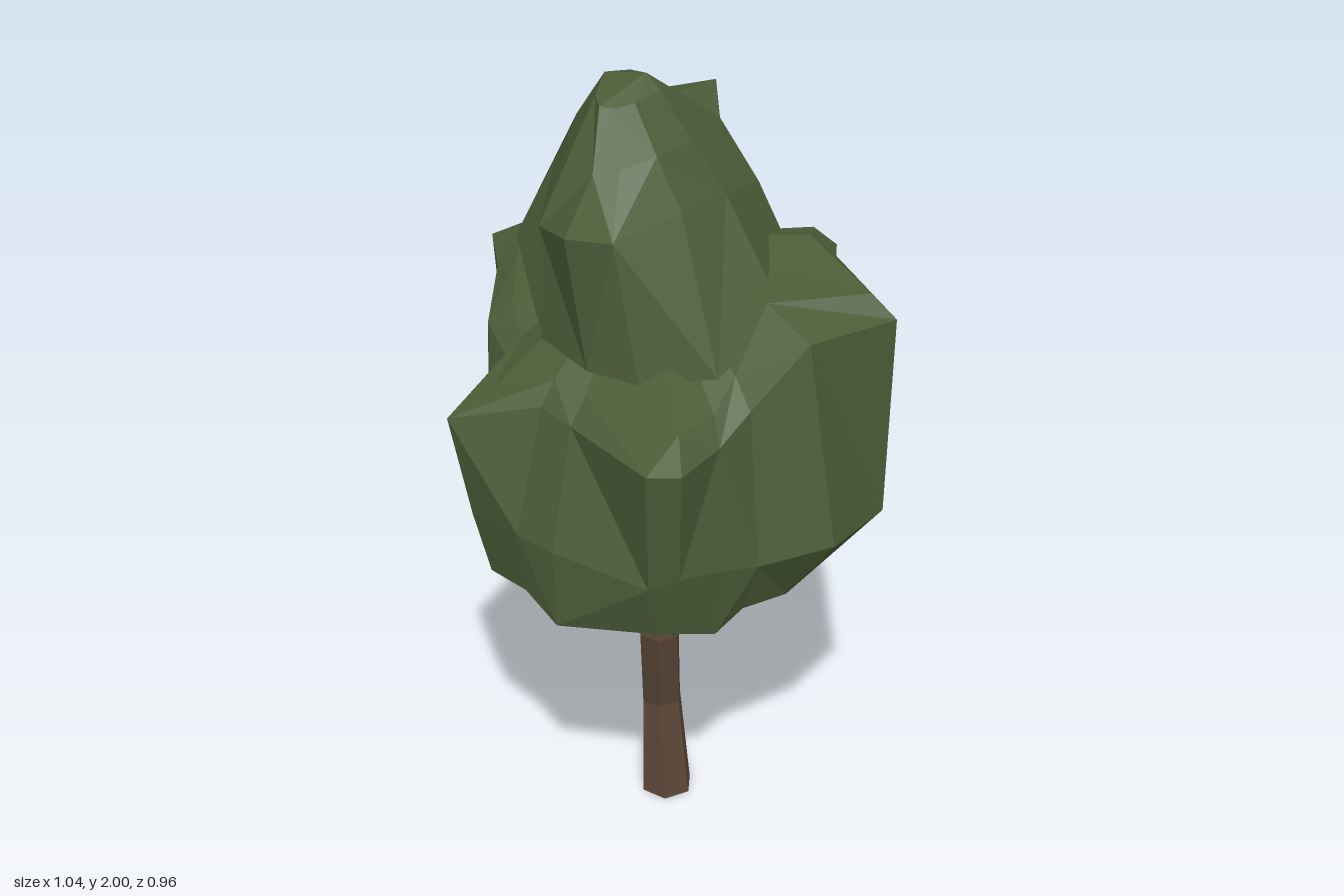
import * as THREE from 'three';

const leafGreen = new THREE.MeshStandardMaterial({ color: 0x4c5d38, flatShading: true });
leafGreen.name = 'leafGreen';
const barkBrown = new THREE.MeshStandardMaterial({ color: 0x5a4637, flatShading: true });
barkBrown.name = 'barkBrown';

// Faceted skin over closed rings of points, with a pole at each end
function skin(rings, bottom, top) {
  const n = rings[0].length;
  const pos = [];
  const tri = (a, b, c) => pos.push(...a, ...b, ...c);
  for (let i = 0; i < n; i++) {
    const k = (i + 1) % n;
    tri(bottom, rings[0][i], rings[0][k]);
    tri(top, rings.at(-1)[k], rings.at(-1)[i]);
    for (let j = 0; j < rings.length - 1; j++) {
      const a = rings[j][i], b = rings[j][k], c = rings[j + 1][i], d = rings[j + 1][k];
      // alternate the diagonals for an irregular, chiselled look
      if ((i * 3 + j * 2) % 5 < 2) { tri(a, c, b); tri(b, c, d); }
      else { tri(a, d, b); tri(a, c, d); }
    }
  }
  const g = new THREE.BufferGeometry();
  g.setAttribute('position', new THREE.Float32BufferAttribute(pos, 3));
  g.computeVertexNormals();
  return g;
}

// Lower canopy lobes: angle (0 = +x, 90 = +z), shoulder height,
// then radii at the low, belly, shoulder and lobe-top rings
const LOBES = [
  [-40, 1.54, .34, .38, .39, .33],
  [-15, 1.49, .37, .53, .54, .48],
  [11, 1.50, .39, .53, .44, .31],
  [29, 1.36, .39, .45, .40, .33],
  [41, 1.31, .42, .46, .44, .39],
  [53, 1.31, .45, .50, .55, .46],
  [61, 1.31, .44, .49, .55, .40],
  [90, 1.30, .45, .46, .38, .32],
  [105, 1.31, .43, .45, .37, .33],
  [125, 1.25, .44, .48, .53, .42],
  [147, 1.30, .40, .41, .37, .33],
  [157, 1.35, .42, .43, .42, .36],
  [177, 1.42, .43, .46, .46, .40],
  [184, 1.46, .43, .48, .52, .43],
  [195, 1.46, .41, .46, .50, .42],
  [228, 1.49, .36, .38, .39, .34],
  [239, 1.45, .34, .35, .35, .31],
  [256, 1.40, .33, .40, .49, .35],
  [282, 1.42, .33, .38, .42, .36],
  [307, 1.52, .35, .38, .42, .36],
];

function lobesGeometry() {
  const rings = [];
  for (let j = 0; j < 5; j++) {
    rings.push(LOBES.map(([deg, shoulder, ...r], i) => {
      const t = THREE.MathUtils.degToRad(deg);
      const y = [0.735, 0.825, 1.0, shoulder, shoulder + 0.055][j];
      const radius = j === 0 ? r[0] * 0.64 : r[j - 1];
      const wobble = j < 3 ? 0.02 * Math.sin(i * 2.3 + j * 1.7) : 0;
      return [radius * Math.cos(t), y + wobble, radius * Math.sin(t)];
    }));
  }
  return skin(rings, [-0.03, 0.68, 0.06], [-0.05, 1.6, 0]);
}

// Crown cross-sections, from inside the lobes up to the tip;
// the middle ones carry the front overhang and the back spike
const CROWN = [
  [[.30, 1.5, -.02], [.27, 1.42, .2], [.12, 1.4, .29], [-.01, 1.4, .30], [-.16, 1.42, .26],
    [-.42, 1.5, 0], [-.30, 1.5, -.21], [-.1, 1.5, -.32], [.2, 1.5, -.24]],
  [[.14, 1.74, -.03], [.12, 1.75, .12], [.05, 1.72, .28], [-.01, 1.755, .375], [-.16, 1.7, .26],
    [-.32, 1.72, -.03], [-.22, 1.7, -.2], [-.08, 1.71, -.32], [.12, 1.7, -.2]],
  [[.07, 1.86, 0], [.05, 1.86, .11], [0, 1.84, .18], [-.05, 1.83, .21], [-.13, 1.86, .17],
    [-.24, 1.85, 0], [-.17, 1.87, -.14], [-.06, 1.87, -.3], [.04, 1.85, -.16]],
  [[0, 1.97, .02], [-.02, 1.96, .09], [-.05, 1.955, .13], [-.075, 1.96, .145], [-.11, 1.965, .11],
    [-.14, 1.985, .03], [-.12, 1.97, -.04], [-.05, 1.9, -.13], [0, 1.94, -.05]],
];

// Crooked six-sided trunk: x, y, z, radius of each joint
function trunkGeometry() {
  const joints = [
    [-0.035, 0, -0.058, 0.067],
    [-0.055, 0.27, -0.065, 0.052],
    [-0.03, 0.51, -0.018, 0.053],
    [-0.06, 0.72, -0.047, 0.055],
  ];
  const rings = joints.map(([x, y, z, r]) => Array.from({ length: 6 }, (_, i) => {
    const t = (i * Math.PI) / 3;
    return [x + r * Math.cos(t), y, z + r * Math.sin(t)];
  }));
  return skin(rings, joints[0].slice(0, 3), joints.at(-1).slice(0, 3));
}

export function createModel() {
  const tree = new THREE.Group();
  tree.name = 'tree';
  const add = (name, geometry, material) => {
    const mesh = new THREE.Mesh(geometry, material);
    mesh.name = name;
    tree.add(mesh);
  };
  add('trunk', trunkGeometry(), barkBrown);
  add('lowerCanopy', lobesGeometry(), leafGreen);
  add('crown', skin(CROWN, [-0.03, 1.42, 0], [-0.04, 2.0, 0.015]), leafGreen);
  return tree;
}
